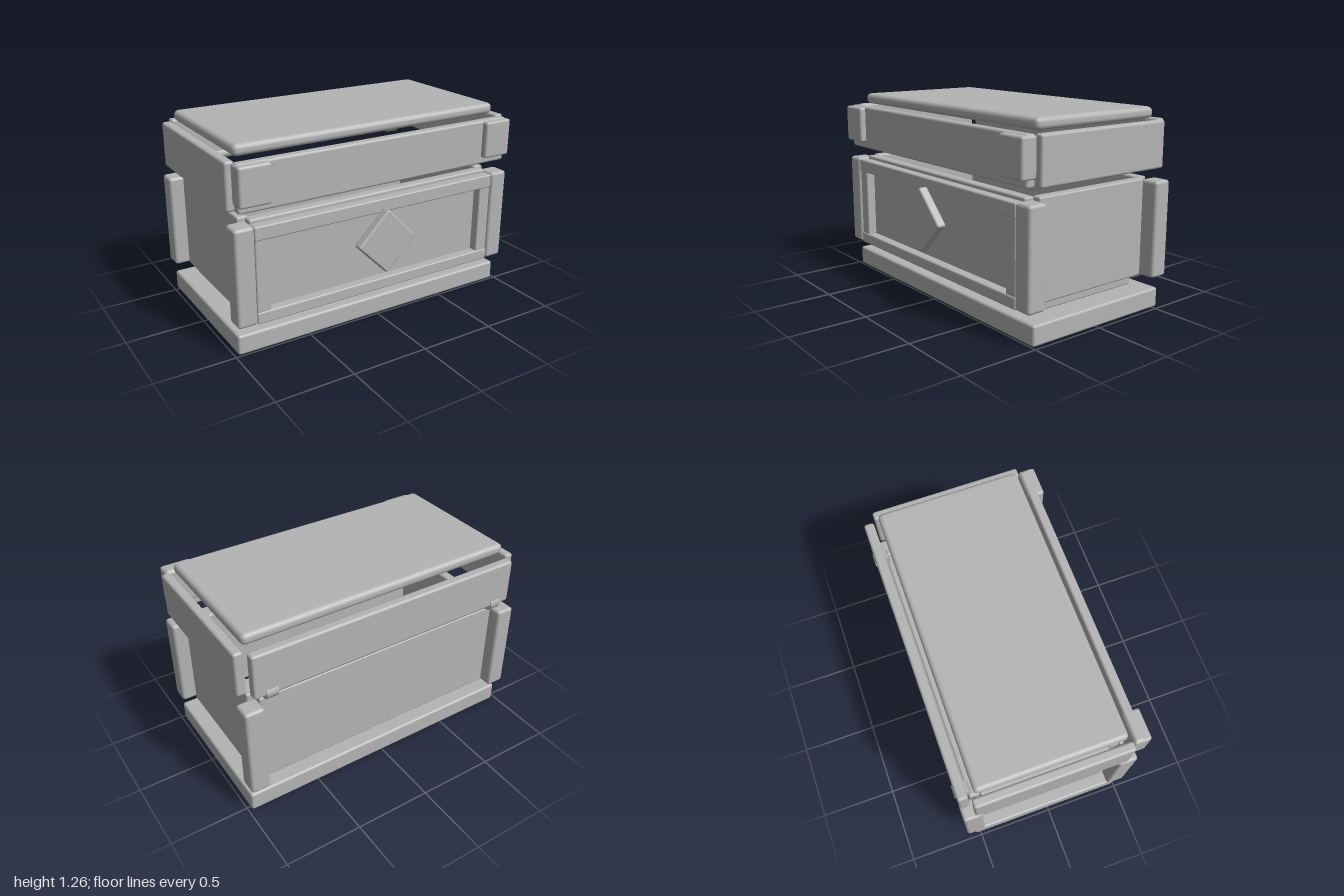
import * as THREE from 'three';
import { RoundedBoxGeometry } from 'three/addons/geometries/RoundedBoxGeometry.js';

export function createModel() {
  const chest = new THREE.Group();
  chest.name = 'explodedChest';
  const grey = new THREE.MeshStandardMaterial({ color: 0xb4b4b4 });
  grey.name = 'plain grey';

  const add = (name, geometry) => {
    const mesh = new THREE.Mesh(geometry, grey);
    mesh.name = name;
    chest.add(mesh);
    return mesh;
  };

  // Softly bevelled board given by its extents on each axis
  const board = (name, [x0, x1], [y0, y1], [z0, z1], bevel = 0.016) => {
    const mesh = add(name, new RoundedBoxGeometry(x1 - x0, y1 - y0, z1 - z0, 2, bevel));
    mesh.position.set((x0 + x1) / 2, (y0 + y1) / 2, (z0 + z1) / 2);
    return mesh;
  };
  // The same board on the left and the right
  const pair = (name, [x0, x1], y, z, bevel) => {
    board('left' + name, [x0, x1], y, z, bevel);
    board('right' + name, [-x1, -x0], y, z, bevel);
  };

  // Base and plinth
  board('base', [-0.978, 0.978], [0, 0.128], [-0.536, 0.495]);
  board('plinth', [-0.837, 0.837], [0.132, 0.207], [-0.433, 0.39], 0.01);

  // Body walls
  board('bodyFront', [-0.865, 0.865], [0.21, 0.828], [0.402, 0.47], 0.012);
  board('bodyBack', [-0.865, 0.865], [0.21, 0.828], [-0.513, -0.447], 0.012);
  pair('BodySide', [0.842, 0.91], [0.21, 0.828], [-0.443, 0.4], 0.012);

  // Corner posts
  pair('FrontPost', [0.868, 0.993], [0.2, 0.815], [0.42, 0.545], 0.02);
  pair('BackPost', [0.868, 0.993], [0.2, 0.815], [-0.59, -0.465], 0.02);

  // Raised frame around the front panel
  board('frameTopRail', [-0.868, 0.868], [0.72, 0.808], [0.472, 0.54], 0.01);
  board('frameBottomRail', [-0.868, 0.868], [0.197, 0.272], [0.472, 0.54], 0.01);
  pair('FrameStile', [0.778, 0.866], [0.265, 0.73], [0.472, 0.535], 0.01);

  // Diamond lock plate
  const diamond = board('diamondPlate', [-0.15, 0.15], [0.395, 0.695], [0.538, 0.598], 0.012);
  diamond.rotation.z = Math.PI / 4;

  // Lid walls, front corner blocks and top
  board('lidFront', [-0.958, 0.958], [0.897, 1.188], [0.475, 0.537]);
  board('lidBack', [-0.927, 0.927], [0.895, 1.188], [-0.588, -0.524]);
  pair('LidSide', [0.936, 0.997], [0.896, 1.188], [-0.513, 0.468]);
  pair('LidCornerBlock', [0.765, 0.965], [0.942, 1.182], [0.47, 0.577]);
  board('lidTop', [-0.927, 0.927], [1.193, 1.265], [-0.488, 0.44], 0.03);

  // Hinge rod and its knuckles
  const rod = (name, radius, length, x) => {
    const mesh = add(name, new THREE.CylinderGeometry(radius, radius, length, 16));
    mesh.rotation.z = Math.PI / 2;
    mesh.position.set(x, 0.908, -0.546);
  };
  rod('hingeRod', 0.033, 1.56, 0);
  rod('leftHinge', 0.051, 0.074, 0.816);
  rod('rightHinge', 0.051, 0.074, -0.816);

  return chest;
}
